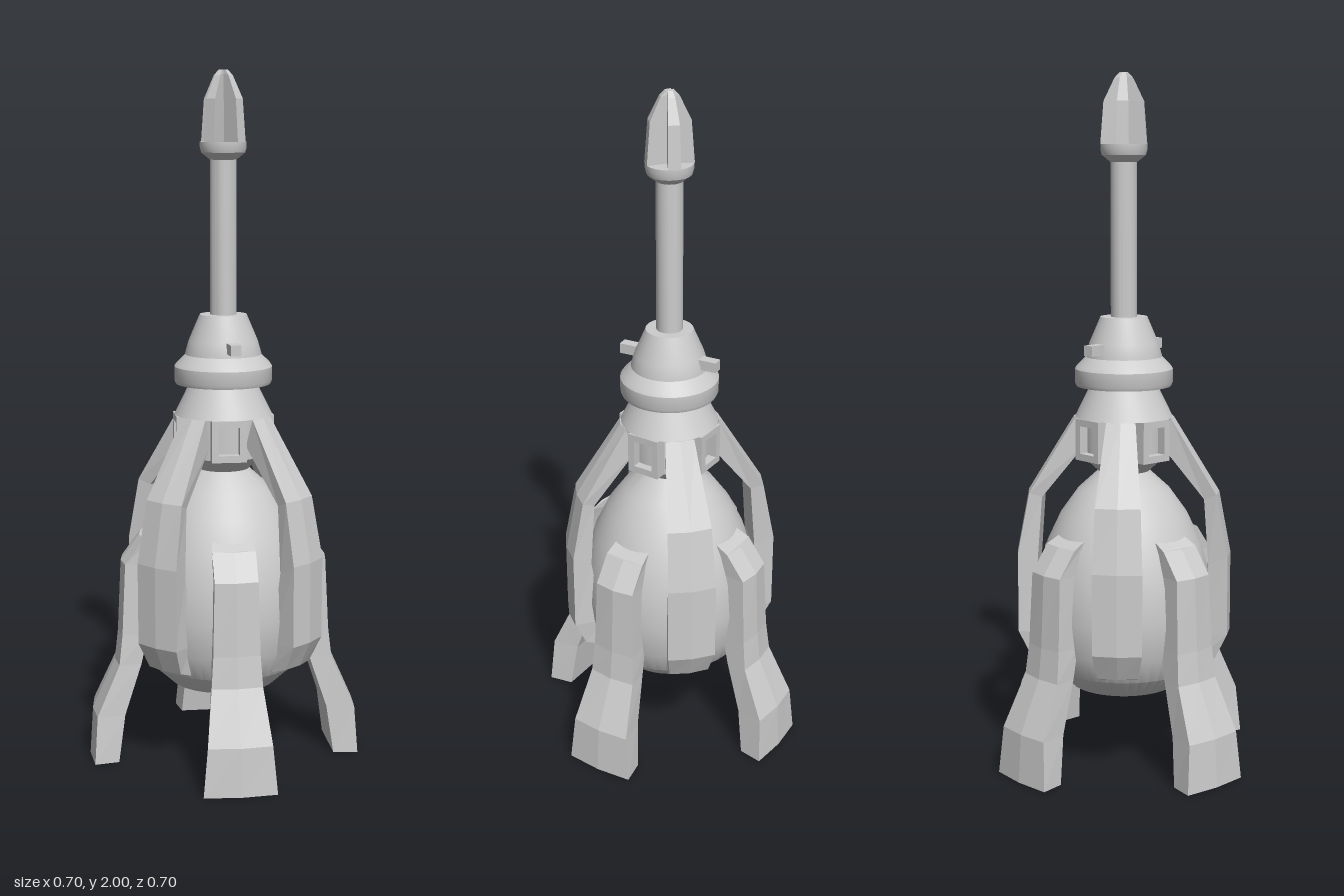
import * as THREE from 'three';
import { toCreasedNormals } from 'three/addons/utils/BufferGeometryUtils.js';

const smooth = new THREE.MeshStandardMaterial({ color: 0xcccccc });
const flat = new THREE.MeshStandardMaterial({ color: 0xcccccc, flatShading: true });

function addMesh(parent, name, geometry, material = smooth) {
  const mesh = new THREE.Mesh(geometry, material);
  mesh.name = name;
  parent.add(mesh);
  return mesh;
}

function turned(parent, name, profile, segments = 40) {
  const points = profile.map(([r, y]) => new THREE.Vector2(r, y));
  const geometry = new THREE.LatheGeometry(points, segments);
  return addMesh(parent, name, toCreasedNormals(geometry, 0.45));
}

// Loft facing +z, bottom to top; station: [outer r, y, half width, inner r, y, half width]
function loft(stations, bulge) {
  const position = [];
  const index = [];
  for (const [ro, yo, wo, ri, yi, wi] of stations) {
    position.push(-wo, yo, ro, 0, yo, ro + bulge, wo, yo, ro, wi, yi, ri, -wi, yi, ri);
  }
  const n = 5;
  const last = (stations.length - 1) * n;
  for (let s = 0; s < last; s += n) {
    for (let i = 0; i < n; i++) {
      const a = s + i, b = s + (i + 1) % n;
      index.push(a, b, b + n, a, b + n, a + n);
    }
  }
  for (let i = 1; i < n - 1; i++) {
    index.push(0, i + 1, i, last, last + i, last + i + 1);
  }
  const geometry = new THREE.BufferGeometry();
  geometry.setAttribute('position', new THREE.Float32BufferAttribute(position, 3));
  geometry.setIndex(index);
  const result = geometry.toNonIndexed();
  result.computeVertexNormals();
  return result;
}

// Four copies around the vertical axis
function ring(parent, name, geometry, start) {
  for (let i = 0; i < 4; i++) {
    addMesh(parent, name, geometry, flat).rotation.y = start + i * Math.PI / 2;
  }
}

export function createModel() {
  const model = new THREE.Group();
  model.name = 'rocket';

  // Egg-shaped hull with a recessed underside
  turned(model, 'hull', [
    [0, 0.27], [0.13, 0.27], [0.13, 0.22], [0.155, 0.22], [0.22, 0.28], [0.248, 0.35],
    [0.26, 0.45], [0.25, 0.56], [0.225, 0.65], [0.185, 0.735], [0.135, 0.805], [0.075, 0.86], [0, 0.86],
  ], 48);

  // Neck, collar and cap
  turned(model, 'neck', [
    [0.07, 0.84], [0.075, 0.86], [0.118, 0.9], [0.118, 1.02], [0.142, 1.02], [0.1, 1.105], [0.1, 1.13],
  ]);
  turned(model, 'collar', [[0.1, 1.105], [0.138, 1.11], [0.142, 1.12], [0.142, 1.16], [0.135, 1.17], [0.11, 1.195]]);
  turned(model, 'cap', [[0.112, 1.17], [0.11, 1.2], [0.1, 1.235], [0.068, 1.31], [0, 1.31]]);

  // Spire with its flared seat
  turned(model, 'spire', [
    [0.038, 1.3], [0.038, 1.75], [0.063, 1.77], [0.067, 1.785], [0.067, 1.8], [0, 1.8],
  ], 24);

  // Crossed fins on the tip
  ring(model, 'tipFin', loft([
    [0.066, 1.8, 0.018, 0, 1.8, 0.007],
    [0.057, 1.92, 0.016, 0, 1.92, 0.007],
    [0.026, 1.985, 0.01, 0, 1.99, 0.006],
    [0.012, 2.0, 0.006, 0, 2.0, 0.004],
  ], 0), 0);

  // Straps bowed from the neck to the hull
  ring(model, 'strap', loft([
    [0.272, 0.31, 0.058, 0.19, 0.28, 0.05],
    [0.306, 0.385, 0.07, 0.22, 0.38, 0.057],
    [0.306, 0.62, 0.071, 0.25, 0.59, 0.058],
    [0.272, 0.8, 0.064, 0.236, 0.785, 0.052],
    [0.138, 1.02, 0.042, 0.11, 0.94, 0.036],
  ], 0.008), 0);

  // Splayed landing legs
  ring(model, 'leg', loft([
    [0.391, 0, 0.105, 0.32, 0, 0.092],
    [0.382, 0.14, 0.092, 0.3, 0.14, 0.08],
    [0.315, 0.29, 0.073, 0.25, 0.29, 0.066],
    [0.305, 0.38, 0.067, 0.23, 0.38, 0.062],
    [0.295, 0.59, 0.062, 0.215, 0.59, 0.057],
    [0.24, 0.665, 0.062, 0.19, 0.69, 0.057],
  ], 0.009), Math.PI / 4);

  // Window frames between the straps
  const frame = new THREE.Shape([[-0.05, 0.9], [0.05, 0.9], [0.05, 1.02], [-0.05, 1.02]]
    .map(([x, y]) => new THREE.Vector2(x, y)));
  frame.holes.push(new THREE.Path([[-0.03, 0.92], [-0.03, 1.0], [0.03, 1.0], [0.03, 0.92]]
    .map(([x, y]) => new THREE.Vector2(x, y))));
  const frameGeometry = new THREE.ExtrudeGeometry(frame, { depth: 0.05, bevelEnabled: false });
  frameGeometry.translate(0, 0, 0.092);
  ring(model, 'windowFrame', frameGeometry, Math.PI / 4);

  // Two opposite pegs on the cap
  for (const turn of [0, Math.PI]) {
    const peg = new THREE.BoxGeometry(0.08, 0.03, 0.03).translate(0.112, 1.222, 0);
    addMesh(model, 'peg', peg, flat).rotation.y = turn - 0.67;
  }
  return model;
}
